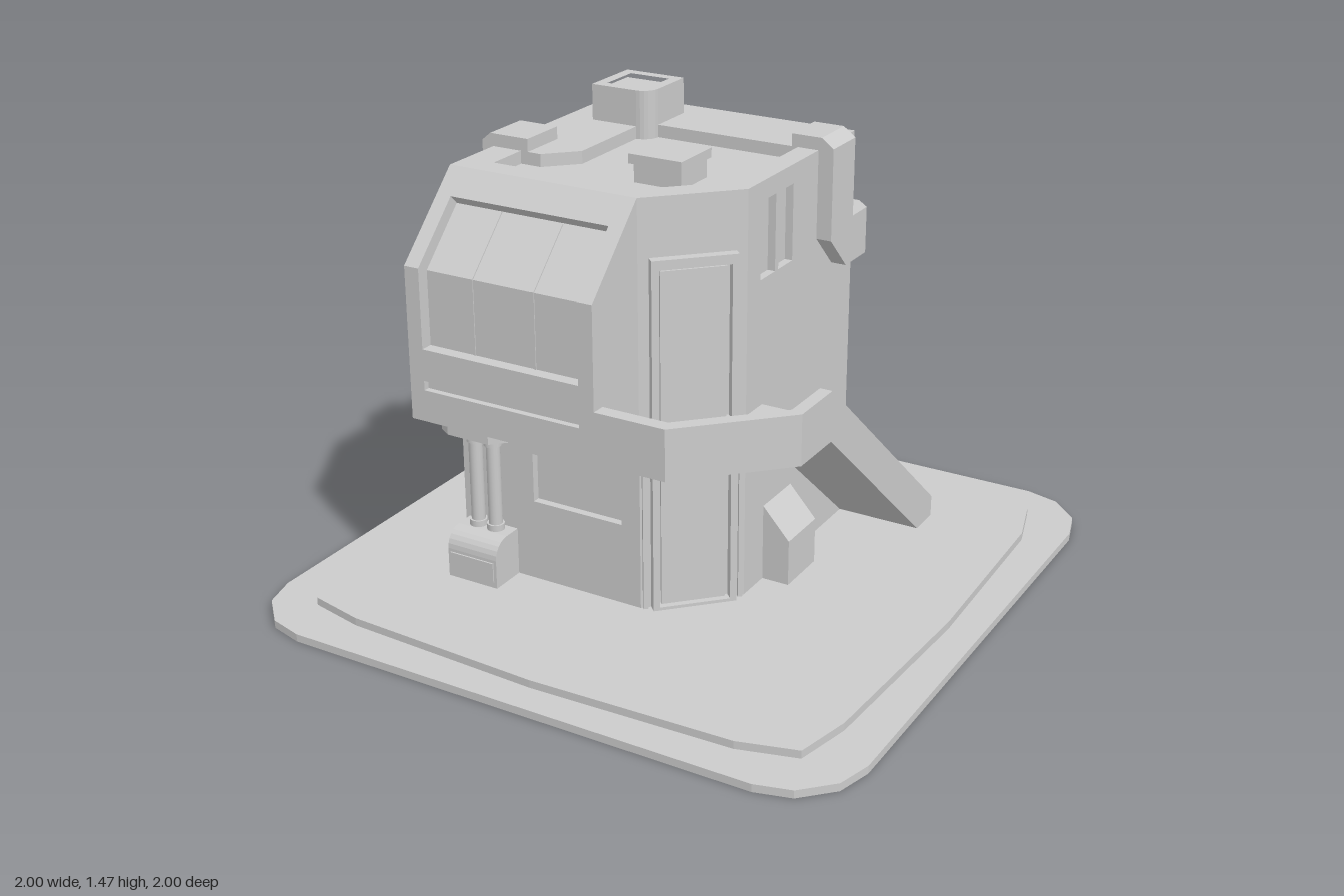
import * as THREE from 'three';

const material = new THREE.MeshStandardMaterial({ color: 0xcccccc, flatShading: true });
const smooth = new THREE.MeshStandardMaterial({ color: 0xcccccc });

export function createModel() {
  const model = new THREE.Group();

  const add = (name, geometry, mat = material) => {
    const mesh = new THREE.Mesh(geometry, mat);
    mesh.name = name;
    model.add(mesh);
    return mesh;
  };
  const extrude = (pts, depth, hole) => {
    const shape = new THREE.Shape(pts.map(([a, b]) => new THREE.Vector2(a, b)));
    if (hole) shape.holes.push(new THREE.Path(hole.map(([a, b]) => new THREE.Vector2(a, b))));
    return new THREE.ExtrudeGeometry(shape, { depth, bevelEnabled: false });
  };
  const flip = (pts) => pts && pts.map(([x, z]) => [x, -z]);
  // Outline in (x, z), raised from y0 to y1
  const slab = (name, pts, y0, y1, hole) =>
    add(name, extrude(flip(pts), y1 - y0, flip(hole)).rotateX(-Math.PI / 2).translate(0, y0, 0));
  // Outline in (z, y), spanning x0 to x1
  const sideProfile = (name, pts, x0, x1) =>
    add(name, extrude(pts, x1 - x0).rotateY(-Math.PI / 2).translate(x1, 0, 0));
  // Outline in (x, y), spanning z0 to z1
  const frontProfile = (name, pts, z0, z1) =>
    add(name, extrude(pts, z1 - z0).translate(0, 0, z0));
  const rect = (x0, x1, z0, z1) => [[x0, z0], [x1, z0], [x1, z1], [x0, z1]];
  const box = (name, x0, x1, y0, y1, z0, z1) => slab(name, rect(x0, x1, z0, z1), y0, y1);
  // Repeats one quarter of an outline around the centre
  const fourfold = (quarter) => [0, 1, 2, 3].flatMap((k) => quarter.map(([x, z]) => {
    for (let i = 0; i < k; i++) [x, z] = [-z, x];
    return [x, z];
  }));

  // Two-tier ground plate
  slab('groundPlate', fourfold([[1, 0.77], [0.97, 0.88], [0.88, 0.97], [0.77, 1]]), 0, 0.025);
  slab('groundTier', fourfold([[0.9, 0], [0.87, 0.65], [0.83, 0.83], [0.65, 0.88]]), 0.025, 0.05);

  // House body in layers; notched layers make the recessed panels
  const frontNotch = [[-0.32, 0.39], [-0.32, 0.365], [-0.005, 0.365], [-0.005, 0.39]];
  const sideNotches = [[0.29, 0.08], [0.265, 0.08], [0.265, -0.01], [0.29, -0.01],
    [0.29, -0.03], [0.265, -0.03], [0.265, -0.12], [0.29, -0.12]];
  const footprint = (front = [], side = []) =>
    [[-0.58, -0.53], [-0.58, 0.39], ...front, [0.06, 0.39], [0.29, 0.16], ...side, [0.29, -0.53]];
  const roofRecess = [[-0.48, 0.31], [0.03, 0.31], [0.22, 0.12], [0.22, -0.28], [-0.27, -0.28],
    [-0.32, -0.23], [-0.32, 0.08], [-0.41, 0.17], [-0.48, 0.17]];
  slab('lowerWall', footprint(), 0.05, 0.315);
  slab('frontPanelWall', footprint(frontNotch), 0.315, 0.475);
  slab('middleWall', footprint(), 0.475, 1.05);
  slab('sideWindowWall', footprint([], sideNotches), 1.05, 1.29);
  slab('upperWall', footprint(), 1.29, 1.31);
  slab('roofEdge', footprint(), 1.31, 1.35, roofRecess);

  // Overhanging bay: solid cheeks with a recessed window between them
  const cheek = [[0.38, 0.63], [0.63, 0.63], [0.63, 1.11], [0.39, 1.35], [0.38, 1.35]];
  sideProfile('bayCheek', cheek, -0.58, -0.53);
  sideProfile('bayCheek', cheek, 0.01, 0.06);
  sideProfile('bayWindow', [[0.38, 0.63], [0.63, 0.63], [0.63, 0.73], [0.61, 0.73], [0.61, 0.76],
    [0.63, 0.76], [0.63, 0.86], [0.59, 0.86], [0.59, 1.093], [0.432, 1.252], [0.46, 1.28],
    [0.39, 1.35], [0.38, 1.35]], -0.53, 0.01);
  for (const x of [-0.37, -0.16]) {
    sideProfile('windowMullion', [[0.58, 0.86], [0.593, 0.86], [0.593, 1.095], [0.437, 1.252],
      [0.425, 1.247], [0.58, 1.09]], x - 0.003, x + 0.003);
  }

  // Balcony floor and parapet
  slab('balconyFloor', [[0.06, 0.62], [0.28, 0.62], [0.56, 0.34], [0.56, 0.16], [0.53, 0.16],
    [0.29, 0.16], [0.06, 0.39]], 0.63, 0.65);
  slab('balconyParapet', [[0.06, 0.63], [0.29, 0.63], [0.57, 0.35], [0.57, 0.16], [0.53, 0.16],
    [0.53, 0.335], [0.275, 0.585], [0.06, 0.585]], 0.63, 0.79);

  // Outside stair with sloped parapet
  const steps = [];
  for (let i = 0; i < 9; i++) {
    const z = -0.62 + i * 0.085, y = 0.105 + i * 0.068;
    steps.push([z, i ? y - 0.068 : 0.05], [z, y]);
  }
  sideProfile('stairSteps', [...steps, [0.16, 0.649], [0.16, 0.63], [-0.51, 0.05]], 0.29, 0.53);
  sideProfile('stairParapet', [[0.16, 0.79], [0.16, 0.63], [-0.51, 0.05], [-0.62, 0.05], [-0.62, 0.12]], 0.53, 0.57);

  // Doors on the angled corner
  for (const [y0, top] of [[0.05, 0.52], [0.65, 1.17]]) {
    const h = top - y0;
    const frame = extrude(
      [[-0.13, 0], [0.13, 0], [0.13, h], [-0.13, h]], 0.03,
      [[-0.11, 0.01], [0.11, 0.01], [0.11, h - 0.03], [-0.11, h - 0.03]]);
    const panel = new THREE.BoxGeometry(0.2, h - 0.05, 0.02).translate(0, (h - 0.03) / 2, 0);
    for (const [name, geometry] of [['doorFrame', frame], ['doorPanel', panel]]) {
      const mesh = add(name, geometry);
      mesh.position.set(0.175, y0, 0.275);
      mesh.rotation.y = Math.PI / 4;
    }
  }
  // Slim posts on both sides of the lower door
  for (const s of [-1, 1]) {
    const post = add('doorPost', new THREE.BoxGeometry(0.015, 0.58, 0.02));
    post.position.set(0.175 + s * 0.105, 0.34, 0.275 - s * 0.105);
    post.rotation.y = Math.PI / 4;
  }

  // Ducts wrapping the walls
  slab('upperDuct', [[0.34, -0.53], [0.29, -0.58], [-0.62, -0.58], [-0.62, 0.05], [-0.58, 0.05],
    [-0.58, -0.53]], 0.96, 1.11);
  slab('lowerDuct', [[0, -0.53], [0, -0.56], [-0.62, -0.56], [-0.62, 0.44], [-0.58, 0.465],
    [-0.43, 0.465], [-0.385, 0.42], [-0.385, 0.39], [-0.58, 0.39], [-0.58, -0.53]], 0.51, 0.625);
  sideProfile('rightDuct', [[-0.28, 1.34], [-0.28, 1.07], [-0.39, 0.96], [-0.53, 0.96], [-0.53, 1.11],
    [-0.43, 1.11], [-0.43, 1.34]], 0.29, 0.34);
  frontProfile('rightDuctCap', [[0.2, 1.31], [0.2, 1.39], [0.3, 1.39], [0.34, 1.36], [0.34, 1.34],
    [0.29, 1.34], [0.29, 1.31]], -0.43, -0.28);
  frontProfile('leftDuct', [[-0.455, 1.34], [-0.455, 1.39], [-0.59, 1.39], [-0.62, 1.365],
    [-0.62, 0.62], [-0.58, 0.62], [-0.58, 1.34]], 0.01, 0.17);

  // Chimney with one rounded corner
  const chimney = [[-0.48, -0.44], [-0.27, -0.44]];
  for (let i = 0; i <= 6; i++) {
    const a = (i / 6) * Math.PI / 2;
    chimney.push([-0.32 + 0.05 * Math.cos(a), -0.28 + 0.05 * Math.sin(a)]);
  }
  chimney.push([-0.48, -0.23]);
  slab('chimney', chimney, 1.31, 1.44);
  slab('chimneyRim', chimney, 1.44, 1.465, rect(-0.445, -0.305, -0.405, -0.265));

  // Roof vent
  box('ventBase', -0.09, 0.07, 1.31, 1.37, 0.01, 0.16);
  box('ventPlate', -0.1, 0.08, 1.37, 1.38, 0, 0.175);
  slab('ventRim', rect(-0.1, 0.08, 0, 0.175), 1.38, 1.4, rect(-0.07, 0.06, 0.02, 0.155));

  // Twin pipes rising from a round-topped unit
  for (const x of [-0.51, -0.445]) {
    add('pipe', new THREE.CylinderGeometry(0.022, 0.022, 0.34, 16).translate(x, 0.35, 0.42), smooth);
    for (const y of [0.215, 0.5]) {
      add('pipeCollar', new THREE.CylinderGeometry(0.028, 0.028, 0.02, 16).translate(x, y, 0.42), smooth);
    }
  }
  const unit = [[0.39, 0.05], [0.51, 0.05]];
  for (let i = 0; i <= 6; i++) {
    const a = (i / 6) * Math.PI / 2;
    unit.push([0.45 + 0.06 * Math.cos(a), 0.145 + 0.06 * Math.sin(a)]);
  }
  unit.push([0.39, 0.205]);
  sideProfile('pipeUnit', unit, -0.565, -0.385);
  box('pipeUnitPanel', -0.555, -0.395, 0.07, 0.135, 0.5, 0.515);

  // Sloped locker under the stair
  frontProfile('locker', [[0.29, 0.05], [0.38, 0.05], [0.38, 0.2], [0.29, 0.3]], -0.14, 0.04);

  return model;
}
